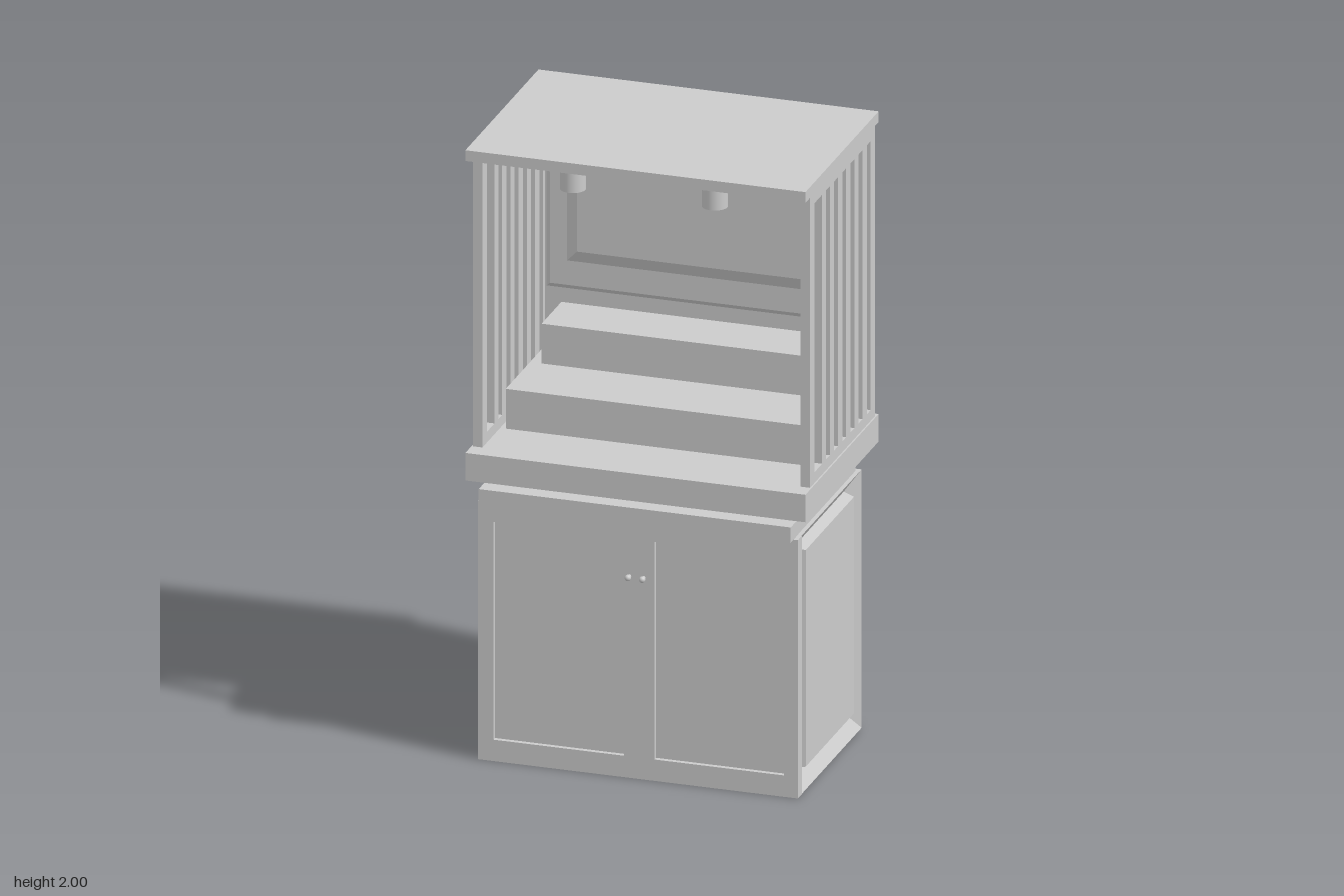
import * as THREE from 'three';

const grey = new THREE.MeshStandardMaterial({ color: 0xcccccc });

export function createModel() {
  const model = new THREE.Group();

  const add = (name, geometry, x = 0, y = 0, z = 0) => {
    const mesh = new THREE.Mesh(geometry, grey);
    mesh.name = name;
    mesh.position.set(x, y, z);
    model.add(mesh);
    return mesh;
  };

  // Box given by its limits on each axis
  const box = (name, x0, x1, y0, y1, z0, z1) =>
    add(name, new THREE.BoxGeometry(x1 - x0, y1 - y0, z1 - z0),
      (x0 + x1) / 2, (y0 + y1) / 2, (z0 + z1) / 2);

  const rect = (Type, x0, x1, y0, y1) => {
    const p = new Type();
    p.moveTo(x0, y0);
    p.lineTo(x1, y0);
    p.lineTo(x1, y1);
    p.lineTo(x0, y1);
    p.closePath();
    return p;
  };

  // Board with rectangular holes, thickness along +z
  const cutBoard = (outer, holes, depth) => {
    const shape = rect(THREE.Shape, ...outer);
    holes.forEach((h) => shape.holes.push(rect(THREE.Path, ...h)));
    return new THREE.ExtrudeGeometry(shape, { depth, bevelEnabled: false });
  };

  // Panel moulding: nested rectangles [halfWidth, halfHeight, z], last one capped
  const moulding = (loops) => {
    const corners = loops.map(([w, h, z]) => [[-w, -h, z], [w, -h, z], [w, h, z], [-w, h, z]]);
    const pos = [];
    for (let k = 0; k < corners.length - 1; k++) {
      const a = corners[k], b = corners[k + 1];
      for (let i = 0; i < 4; i++) {
        const j = (i + 1) % 4;
        pos.push(...a[i], ...a[j], ...b[j], ...a[i], ...b[j], ...b[i]);
      }
    }
    const c = corners[corners.length - 1];
    pos.push(...c[0], ...c[1], ...c[2], ...c[0], ...c[2], ...c[3]);
    const g = new THREE.BufferGeometry();
    g.setAttribute('position', new THREE.Float32BufferAttribute(pos, 3));
    g.computeVertexNormals();
    return g;
  };

  // Lower cabinet
  box('cabinetBody', -0.465, 0.465, 0, 0.845, -0.3, 0.278);
  for (const s of [1, -1]) {
    const panel = add(s > 0 ? 'leftCabinetPanel' : 'rightCabinetPanel', moulding([
      [0.289, 0.4225, 0], [0.289, 0.4225, 0.045], [0.242, 0.362, 0.003], [0.232, 0.354, 0.04],
    ]), s * 0.464, 0.4225, -0.011);
    panel.rotation.y = s * Math.PI / 2;
  }

  // Door front with two shallow recesses
  box('doorBacking', -0.515, 0.51, 0, 0.845, 0.278, 0.3);
  add('doorFrame', cutBoard([-0.515, 0.51, 0, 0.845],
    [[-0.466, -0.047, 0.07, 0.782], [0.05, 0.466, 0.07, 0.782]], 0.015), 0, 0, 0.3);
  for (const x of [-0.03, 0.016]) {
    const stem = add('knobStem', new THREE.CylinderGeometry(0.006, 0.006, 0.015, 12), x, 0.66, 0.32);
    stem.rotation.x = Math.PI / 2;
    add('knob', new THREE.SphereGeometry(0.01, 16, 12), x, 0.66, 0.331);
  }

  // Neck, pull-out tray and counter
  box('neck', -0.495, 0.495, 0.845, 0.92, -0.283, 0.278);
  box('tray', -0.5, 0.5, 0.85, 0.9, 0.278, 0.354);
  box('counter', -0.545, 0.545, 0.92, 1.01, -0.355, 0.347);

  // Display steps
  box('lowerStep', -0.492, 0.49, 1.01, 1.14, -0.305, 0.118);
  box('upperStep', -0.455, 0.452, 1.01, 1.27, -0.305, -0.115);

  // Slatted sides
  const slots = [[0.172, 0.246]];
  for (let i = 0; i < 6; i++) slots.push([0.098 - i * 0.0785, 0.135 - i * 0.0785]);
  for (const s of [1, -1]) {
    const holes = slots.map(([a, b]) => [-b, -a, 1.045, 1.925]);
    const side = add(s > 0 ? 'leftSlats' : 'rightSlats',
      cutBoard([-0.288, 0.336, 1.01, 1.965], holes, 0.03), s > 0 ? 0.51 : -0.54);
    side.rotation.y = Math.PI / 2;
  }

  // Back wall with raised panel
  box('backBoard', -0.51, 0.51, 1.01, 1.965, -0.336, -0.312);
  add('backPanel', moulding([
    [0.505, 0.295, 0], [0.49, 0.28, 0.012], [0.435, 0.2, 0.012], [0.395, 0.157, 0.037],
  ]), 0, 1.61, -0.312);

  // Roof and hanging lamps
  box('roof', -0.545, 0.545, 1.965, 2, -0.355, 0.347);
  for (const x of [-0.24, 0.215])
    for (const z of [0.228, 0.027, -0.175])
      add('lamp', new THREE.CylinderGeometry(0.04, 0.04, 0.098, 32), x, 1.918, z);

  return model;
}
